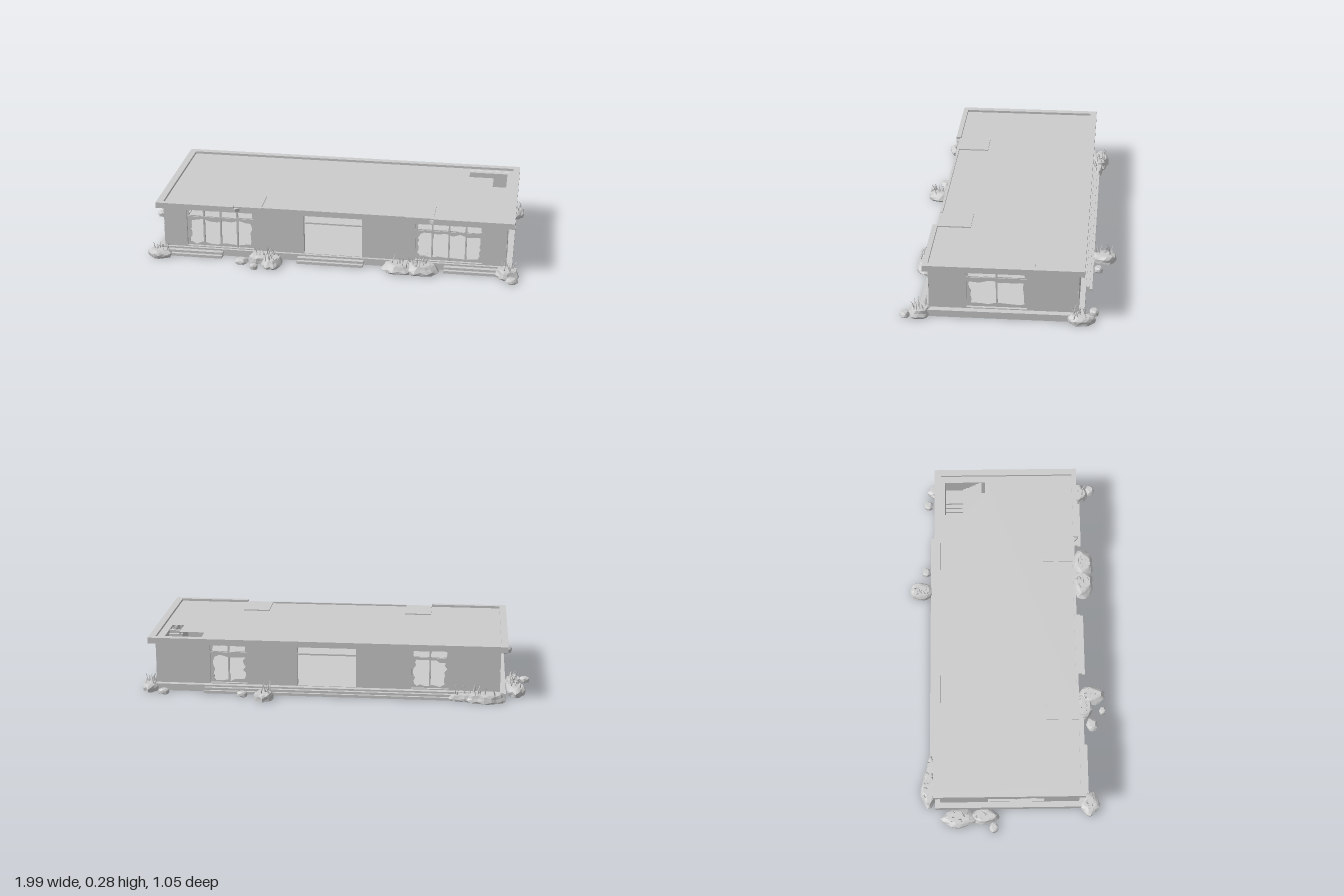
import * as THREE from 'three';
import { mergeGeometries } from 'three/addons/utils/BufferGeometryUtils.js';

export function createModel() {
  const model = new THREE.Group();
  const grey = new THREE.MeshStandardMaterial({ color: 0xcccccc, flatShading: true });
  let seed = 7;
  const rand = (a = 0, b = 1) => {
    seed = (seed * 16807) % 2147483647;
    return a + (b - a) * seed / 2147483647;
  };
  const add = (name, geometry, parent = model) => {
    const mesh = new THREE.Mesh(geometry, grey);
    mesh.name = name;
    parent.add(mesh);
    return mesh;
  };
  // Box given by its limits on each axis
  const box = (name, x0, x1, y0, y1, z0, z1, parent) => add(name,
    new THREE.BoxGeometry(x1 - x0, y1 - y0, z1 - z0)
      .translate((x0 + x1) / 2, (y0 + y1) / 2, (z0 + z1) / 2), parent);
  const outline = pts => pts.map(p => new THREE.Vector2(p[0], p[1]));
  const rect = (x0, x1, y0, y1) => outline([[x0, y0], [x1, y0], [x1, y1], [x0, y1]]);
  const panel = (pts, holes, depth) => {
    const shape = new THREE.Shape(pts);
    holes.forEach(h => shape.holes.push(new THREE.Path(h)));
    return new THREE.ExtrudeGeometry(shape, { depth, bevelEnabled: false });
  };
  // Flat slab from [x, z] points, rising from y0 to y1
  const slab = (name, pts, holes, y0, y1) => {
    const flip = list => outline(list.map(([x, z]) => [x, -z]));
    return add(name, panel(flip(pts), holes.map(flip), y1 - y0).rotateX(-Math.PI / 2).translate(0, y0, 0));
  };

  // Ragged rectangle left by a smashed pane
  const ragged = (x0, x1, y0, y1, n = 7) => {
    const pts = [], corners = rect(x0, x1, y0, y1), dx = x1 - x0, dy = y1 - y0;
    for (let s = 0; s < 4; s++) {
      const a = corners[s], b = corners[(s + 1) % 4];
      for (let i = 0; i < n; i++) {
        const p = a.clone().lerp(b, i / n);
        const bite = i === 0 ? 0.1 : rand(0.01, 0.13);
        const reach = Math.min(dx, dy) * bite;
        if (i === 0) {
          p.x += s === 0 || s === 3 ? reach : -reach;
          p.y += s < 2 ? reach : -reach;
        } else if (s % 2 === 0) p.y += s === 0 ? reach : -reach;
        else p.x += s === 1 ? -reach : reach;
        pts.push(p);
      }
    }
    return pts;
  };

  // Window with broken panes, a transom and upright bars
  const brokenWindow = (parent, [x0, x1], bars) => {
    const y0 = 0.04, y1 = 0.24, t = 0.197;
    const g = new THREE.Group();
    g.name = 'brokenWindow';
    g.position.z = -0.018;
    parent.add(g);
    add('shatteredPane', panel(rect(x0, x1, y0, y1),
      [ragged(x0 + 0.005, x1 - 0.005, y0 + 0.003, t - 0.006, 9),
        ragged(x0 + 0.008, x1 - 0.008, t + 0.005, y1 - 0.003, 9)], 0.004), g);
    box('transom', x0, x1, t - 0.004, t + 0.004, -0.004, 0.008, g);
    for (let i = 1; i <= bars; i++) {
      const x = x0 + (x1 - x0) * i / (bars + 1);
      box('windowBar', x - 0.004, x + 0.004, y0, y1, -0.004, 0.008, g);
    }
  };

  // Wall lying in its own xy plane, outer face at z = 0, with chipped ends
  const wall = (name, x0, x1, openings, place, turn) => {
    const g = new THREE.Group();
    g.name = name;
    g.position.set(...place);
    g.rotation.y = turn;
    model.add(g);
    const pts = [[x0, 0.02], [x1, 0.02], [x1, 0.1], [x1 - 0.008, 0.12], [x1 - 0.004, 0.15], [x1, 0.16],
      [x1, 0.255], [x0, 0.255], [x0, 0.2], [x0 + 0.006, 0.185], [x0 + 0.003, 0.15], [x0, 0.14]];
    const holes = openings.map(o => o.bars ? rect(...o.span, 0.04, 0.24) : rect(...o.span, 0.037, 0.245));
    add('wallPanel', panel(outline(pts), holes, 0.03).translate(0, 0, -0.03), g);
    openings.forEach(o => {
      if (o.bars) brokenWindow(g, o.span, o.bars);
      else box('doorRail', ...o.span, 0.198, 0.206, -0.02, -0.01, g);
    });
  };
  wall('frontWall', -0.84, 0.92,
    [{ span: [-0.72, -0.37], bars: 3 }, { span: [-0.11, 0.19] }, { span: [0.46, 0.8], bars: 3 }], [0, 0, 0.362], 0);
  wall('backWall', -0.92, 0.84,
    [{ span: [-0.64, -0.45], bars: 1 }, { span: [-0.19, 0.11] }, { span: [0.39, 0.58], bars: 1 }], [0, 0, -0.358], Math.PI);
  wall('rightEndWall', -0.36, 0.356, [{ span: [-0.18, 0.11], bars: 1 }], [0.92, 0, 0], Math.PI / 2);
  wall('leftEndWall', -0.356, 0.36, [{ span: [-0.11, 0.18], bars: 1 }], [-0.84, 0, 0], -Math.PI / 2);

  // Floor and entrance steps
  box('floorSlab', -0.87, 0.95, 0, 0.035, -0.385, 0.375);
  [[-0.87, -0.53], [-0.14, 0.2], [0.61, 0.95]].forEach(([a, b]) => {
    box('frontLowerStep', a, b, 0, 0.014, 0.37, 0.415);
    box('frontUpperStep', a, b, 0, 0.026, 0.37, 0.398);
  });
  box('backLowerStep', -0.62, 0.665, 0, 0.014, -0.415, -0.38);
  box('backUpperStep', -0.62, 0.665, 0, 0.026, -0.402, -0.38);

  // Roof with an L-shaped stair opening, and its raised rim
  const rim = [[-0.875, -0.385], [0.955, -0.385], [0.955, 0.385], [0.55, 0.385], [0.53, 0.365],
    [-0.44, 0.365], [-0.46, 0.385], [-0.875, 0.385]];
  const well = [[0.69, -0.33], [0.905, -0.33], [0.905, -0.11], [0.82, -0.11], [0.82, -0.23], [0.69, -0.23]];
  slab('roofSlab', rim, [well], 0.25, 0.268);
  slab('roofRim', [[-0.47, 0.36], [-0.47, 0.385], [-0.875, 0.385], [-0.875, -0.385], [0.955, -0.385], [0.955, 0.385],
    [0.55, 0.385], [0.55, 0.36], [0.92, 0.36], [0.92, -0.35], [-0.84, -0.35], [-0.84, 0.36]], [], 0.267, 0.28);
  box('frontRim', -0.33, 0.41, 0.267, 0.276, 0.353, 0.365);
  [-0.4, 0.48].forEach(x => box('roofPatch', x - 0.07, x + 0.07, 0.266, 0.274, 0.195, 0.365));

  // Stair turning at a landing below the roof opening
  for (let i = 0; i < 6; i++) {
    const z = -0.13 - i * 0.017, y = 0.25 - i * 0.015;
    box('upperTread', 0.82, 0.9, y - 0.018, y, z - 0.017, z);
  }
  box('landing', 0.81, 0.9, 0.142, 0.16, -0.328, -0.232);
  for (let i = 0; i < 9; i++) {
    const x = 0.81 - i * 0.019, y = 0.147 - i * 0.0125;
    box('lowerTread', x - 0.019, x, y - 0.016, y, -0.328, -0.235);
  }

  // Faceted stone with a flattened top, sitting on the ground
  const rock = (x, z, rx, rz, h, detail = 1) => {
    const geo = new THREE.IcosahedronGeometry(1, detail);
    const p = geo.attributes.position, v = new THREE.Vector3(), k = rand(1, 9);
    for (let i = 0; i < p.count; i++) {
      v.fromBufferAttribute(p, i);
      v.multiplyScalar(1 + 0.13 * Math.sin(v.x * 5 + k) * Math.cos(v.z * 4 - k) + 0.06 * Math.sin(v.y * 7 + k));
      p.setXYZ(i, x + v.x * rx, Math.max(0, Math.min(v.y + 0.25, 0.95) * h), z + v.z * rz);
    }
    geo.computeVertexNormals();
    add('rock', geo);
  };
  // Tuft of curved, pointed blades
  const grass = (x, z, rx, rz, y, count) => {
    const blades = [];
    for (let i = 0; i < count; i++) {
      const h = rand(0.03, 0.065), bend = rand(0.1, 0.5) * h;
      const blade = new THREE.ConeGeometry(0.0045, h, 3, 3, true).translate(0, h / 2, 0);
      const p = blade.attributes.position;
      for (let j = 0; j < p.count; j++) p.setX(j, p.getX(j) + bend * (p.getY(j) / h) ** 2);
      blade.rotateY(rand(0, 6.28)).translate(x + rand(-rx, rx), y, z + rand(-rz, rz));
      blades.push(blade);
    }
    const geo = mergeGeometries(blades);
    geo.computeVertexNormals();
    add('grassTuft', geo);
  };

  // Large mounds with grass: x, z, half width, half depth, height, blades
  [[-0.76, -0.415, 0.1, 0.045, 0.045, 14], [-0.66, -0.405, 0.08, 0.025, 0.035, 4], [-0.92, -0.26, 0.05, 0.09, 0.045, 16],
    [-0.91, -0.13, 0.04, 0.075, 0.04, 10], [0.35, -0.465, 0.05, 0.062, 0.04, 14],
    [0.95, -0.37, 0.042, 0.065, 0.04, 13], [-0.85, 0.42, 0.063, 0.048, 0.04, 10],
    [-0.32, 0.405, 0.066, 0.045, 0.04, 10], [-0.26, 0.45, 0.05, 0.068, 0.045, 14],
    [0.39, 0.42, 0.09, 0.055, 0.045, 14], [0.5, 0.425, 0.085, 0.052, 0.05, 14],
    [0.93, 0.405, 0.058, 0.055, 0.045, 14]].forEach(([x, z, rx, rz, h, n]) => {
    rock(x, z, rx, rz, h, 2);
    grass(x, z, rx * 0.6, rz * 0.6, h * 0.7, n);
  });
  // Loose stones
  [[-0.97, -0.08, 0.029], [0.465, -0.44, 0.027], [0.87, -0.43, 0.028], [-0.42, 0.445, 0.035],
    [-0.345, 0.503, 0.022], [0.955, 0.475, 0.03]].forEach(([x, z, r]) => rock(x, z, r, r * 0.85, 0.027));
  return model;
}
